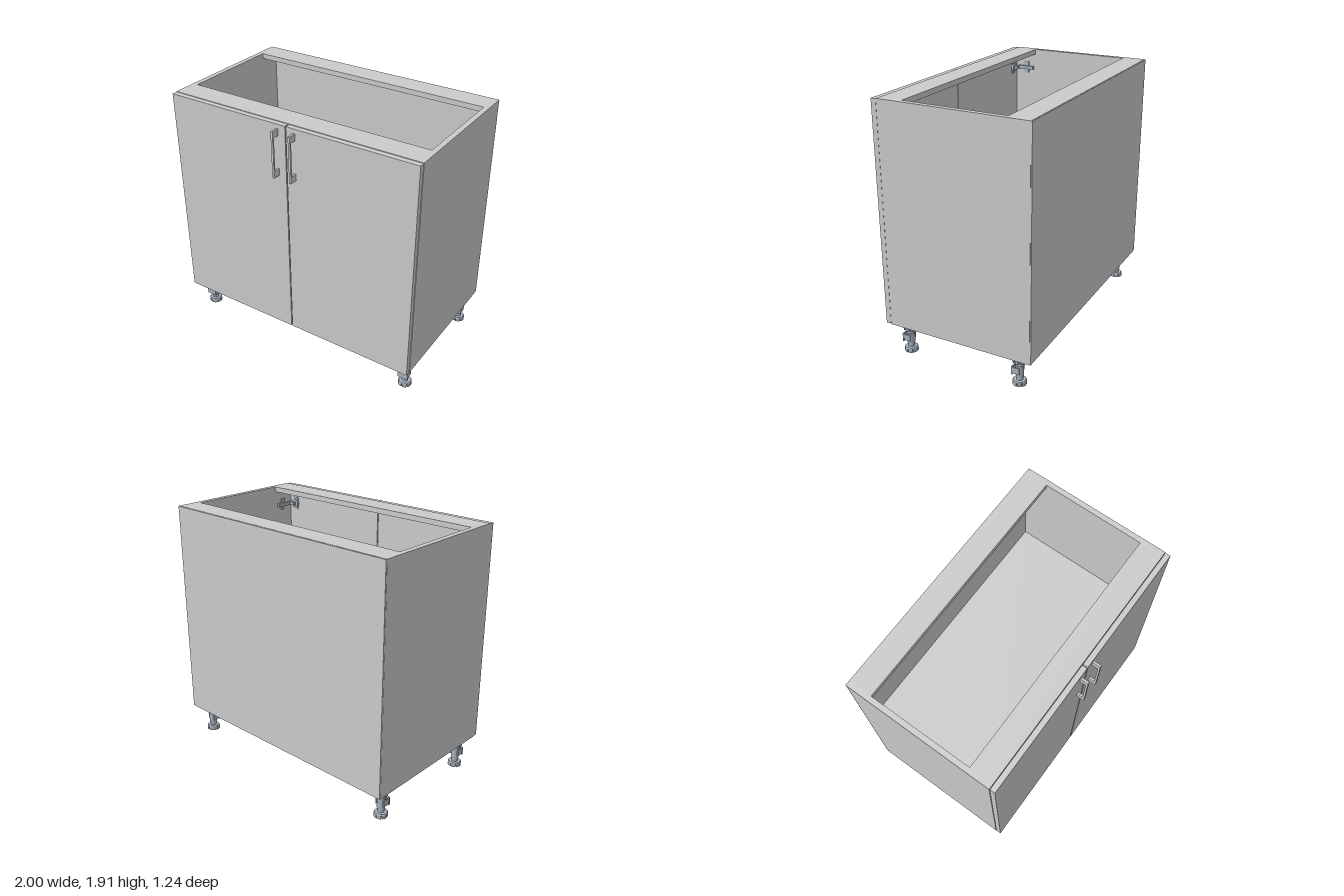
import * as THREE from 'three';

const grey = new THREE.MeshStandardMaterial({ color: 0xcccccc });
const metal = new THREE.MeshStandardMaterial({ color: 0xa9b3bf });

function add(parent, name, geometry, material, x = 0, y = 0, z = 0) {
  const mesh = new THREE.Mesh(geometry, material);
  mesh.name = name;
  mesh.position.set(x, y, z);
  parent.add(mesh);
  return mesh;
}

// Box given by its [min, max] range on each axis
function box(parent, name, [x0, x1], [y0, y1], [z0, z1], material = grey) {
  return add(parent, name, new THREE.BoxGeometry(x1 - x0, y1 - y0, z1 - z0), material,
    (x0 + x1) / 2, (y0 + y1) / 2, (z0 + z1) / 2);
}

function disc(parent, name, rTop, rBottom, y0, y1, sides = 24) {
  return add(parent, name, new THREE.CylinderGeometry(rTop, rBottom, y1 - y0, sides), metal, 0, (y0 + y1) / 2, 0);
}

// Adjustable leg with ribbed socket, clip and slotted foot
function makeLeg() {
  const leg = new THREE.Group();
  leg.name = 'leg';
  disc(leg, 'mountingPlate', 0.055, 0.055, 0.218, 0.23);
  disc(leg, 'socket', 0.036, 0.036, 0.18, 0.218);
  disc(leg, 'socketRim', 0.05, 0.046, 0.18, 0.188);
  for (let i = 0; i < 8; i++) {
    const a = (i * Math.PI) / 4;
    const rib = add(leg, 'socketRib', new THREE.BoxGeometry(0.022, 0.038, 0.02), metal,
      Math.cos(a) * 0.039, 0.199, Math.sin(a) * 0.039);
    rib.rotation.y = -a;
  }
  disc(leg, 'column', 0.03, 0.03, 0.07, 0.18);
  disc(leg, 'collar', 0.034, 0.034, 0.145, 0.152);
  disc(leg, 'screw', 0.024, 0.024, 0.035, 0.07);
  // Plinth clip
  box(leg, 'clipPlate', [-0.041, 0.041], [0.082, 0.146], [0.036, 0.046], metal);
  box(leg, 'clipNeck', [-0.018, 0.018], [0.09, 0.138], [0.02, 0.036], metal);
  for (const s of [-1, 1]) {
    box(leg, 'clipJaw', [s * 0.034 - 0.004, s * 0.034 + 0.004], [0.09, 0.138], [-0.015, 0.036], metal);
  }
  // Foot
  disc(leg, 'foot', 0.045, 0.05, 0.028, 0.036);
  disc(leg, 'footCore', 0.04, 0.04, 0.004, 0.028);
  for (let i = 0; i < 8; i++) {
    const start = (i * Math.PI) / 4 + 0.06, arc = Math.PI / 4 - 0.12;
    const pad = new THREE.Shape();
    pad.absarc(0, 0, 0.05, start, start + arc, false);
    pad.absarc(0, 0, 0.034, start + arc, start, true);
    const geo = new THREE.ExtrudeGeometry(pad, { depth: 0.028, bevelEnabled: false, curveSegments: 4 });
    add(leg, 'footPad', geo.rotateX(-Math.PI / 2), metal);
  }
  return leg;
}

// Concealed hinge for the +x side (side = 1) or the -x side (side = -1)
function makeHinge(side) {
  const hinge = new THREE.Group();
  hinge.name = 'hinge';
  const xr = (a, b) => (side > 0 ? [a, b] : [-b, -a]);
  box(hinge, 'hingePlate', xr(0.95, 0.96), [-0.045, 0.045], [0.4, 0.44], metal);
  box(hinge, 'hingeArm', xr(0.925, 0.95), [-0.013, 0.013], [0.35, 0.485], metal);
  box(hinge, 'hingeLink', xr(0.885, 0.94), [-0.012, 0.012], [0.475, 0.505], metal);
  box(hinge, 'hingeFlange', xr(0.87, 0.915), [-0.05, 0.05], [0.513, 0.52], metal);
  const cup = add(hinge, 'hingeCup', new THREE.CylinderGeometry(0.034, 0.034, 0.018, 24), metal, side * 0.895, 0, 0.511);
  cup.rotation.x = Math.PI / 2;
  return hinge;
}

export function createModel() {
  const model = new THREE.Group();
  model.name = 'baseCabinet';
  const bottom = 0.23, top = 1.915, inner = [-0.96, 0.96];

  // Carcass, open at the top between two rails
  const carcass = new THREE.Group();
  carcass.name = 'carcass';
  model.add(carcass);
  box(carcass, 'leftPanel', [0.96, 1], [bottom, top], [-0.612, 0.518]);
  box(carcass, 'rightPanel', [-1, -0.96], [bottom, top], [-0.612, 0.518]);
  box(carcass, 'bottomPanel', inner, [bottom, bottom + 0.04], [-0.612, 0.518]);
  box(carcass, 'shelf', inner, [1.07, 1.11], [-0.61, 0.48]);
  box(carcass, 'frontRail', inner, [top - 0.04, top], [0.34, 0.518]);
  box(carcass, 'backRail', inner, [top - 0.04, top], [-0.612, -0.44]);
  box(carcass, 'backPanel', [-0.998, 0.998], [bottom + 0.002, top - 0.002], [-0.62, -0.612]);

  for (const s of [-1, 1]) {
    // Door with its bar handle
    const door = new THREE.Group();
    door.name = s > 0 ? 'leftDoor' : 'rightDoor';
    model.add(door);
    const span = s > 0 ? [0.004, 0.998] : [-0.998, -0.004];
    box(door, 'doorPanel', span, [bottom + 0.002, top - 0.003], [0.521, 0.56]);
    const hx = [s * 0.07 - 0.008, s * 0.07 + 0.008];
    box(door, 'handleBar', hx, [1.53, 1.88], [0.606, 0.62]);
    box(door, 'handleFoot', hx, [1.53, 1.58], [0.56, 0.606]);
    box(door, 'handleFoot', hx, [1.83, 1.88], [0.56, 0.606]);

    for (const y of [0.385, 1.76]) {
      const hinge = makeHinge(s);
      hinge.position.y = y;
      model.add(hinge);
    }
    for (const z of [0.41, -0.495]) {
      const leg = makeLeg();
      leg.position.set(s * 0.915, 0, z);
      model.add(leg);
    }
  }
  return model;
}
